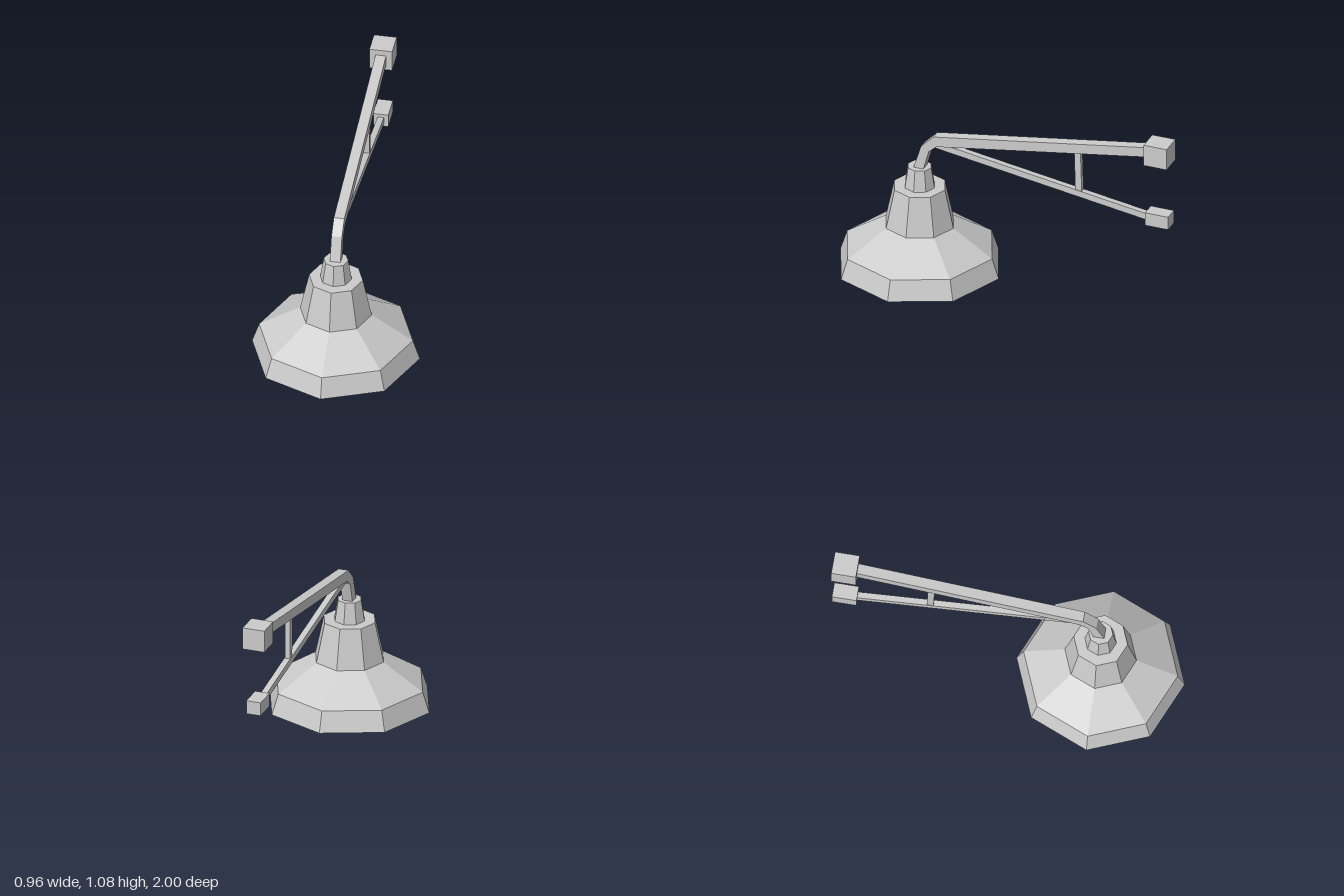
import * as THREE from 'three';

const material = new THREE.MeshStandardMaterial({ color: 0xcccccc, flatShading: true });
const SHADE_Z = 0.52;

function addPart(group, name, geometry, x = 0, y = 0, z = 0) {
  const mesh = new THREE.Mesh(geometry, material);
  mesh.name = name;
  mesh.position.set(x, y, z);
  group.add(mesh);
}

// Faceted solid of revolution from [radius, y] points, bottom to top on the outside
function turned(points, sides) {
  return new THREE.LatheGeometry(points.map(([r, y]) => new THREE.Vector2(r, y)), sides);
}

// Side outline of [z, y] points, given a thickness centred on x = 0
function sideSlab(points, width) {
  const shape = new THREE.Shape(points.map(([z, y]) => new THREE.Vector2(-z, y)));
  const geometry = new THREE.ExtrudeGeometry(shape, { depth: width, bevelEnabled: false });
  return geometry.translate(0, 0, -width / 2).rotateY(Math.PI / 2);
}

export function createModel() {
  const lamp = new THREE.Group();
  lamp.name = 'wallLamp';

  // Stepped octagonal shade: hollow inside, rim, then the outer steps
  addPart(lamp, 'shade', turned([
    [0, 0.25], [0.15, 0.25], [0.437, 0], [0.478, 0], [0.438, 0.12], [0.204, 0.268],
    [0.153, 0.502], [0.09, 0.502], [0.07, 0.627], [0, 0.627],
  ], 8), 0, 0, SHADE_Z);

  // Bulb hanging inside the shade
  addPart(lamp, 'bulb', turned([
    [0, 0.03], [0.09, 0.12], [0.07, 0.18], [0.07, 0.26],
  ], 6), 0, 0, SHADE_Z);

  // Bent main arm
  addPart(lamp, 'arm', sideSlab([
    [0.55, 0.61], [0.5, 0.77], [0.425, 0.845], [-0.88, 1.048],
    [-0.88, 0.988], [0.405, 0.786], [0.453, 0.745], [0.49, 0.61],
  ], 0.06), 0, 0, 0);

  // Lower strut and the upright brace between strut and arm
  addPart(lamp, 'strut', sideSlab([
    [0.42, 0.79], [0.33, 0.795], [-0.88, 0.612], [-0.88, 0.573], [0.42, 0.77],
  ], 0.036));
  addPart(lamp, 'brace', sideSlab([
    [-0.42, 0.93], [-0.458, 0.93], [-0.466, 0.66], [-0.428, 0.66],
  ], 0.03));

  // Wall mounts
  addPart(lamp, 'upperMount', new THREE.BoxGeometry(0.13, 0.13, 0.14), 0, 1.014, -0.93);
  addPart(lamp, 'lowerMount', new THREE.BoxGeometry(0.086, 0.08, 0.14), 0, 0.595, -0.93);

  return lamp;
}
